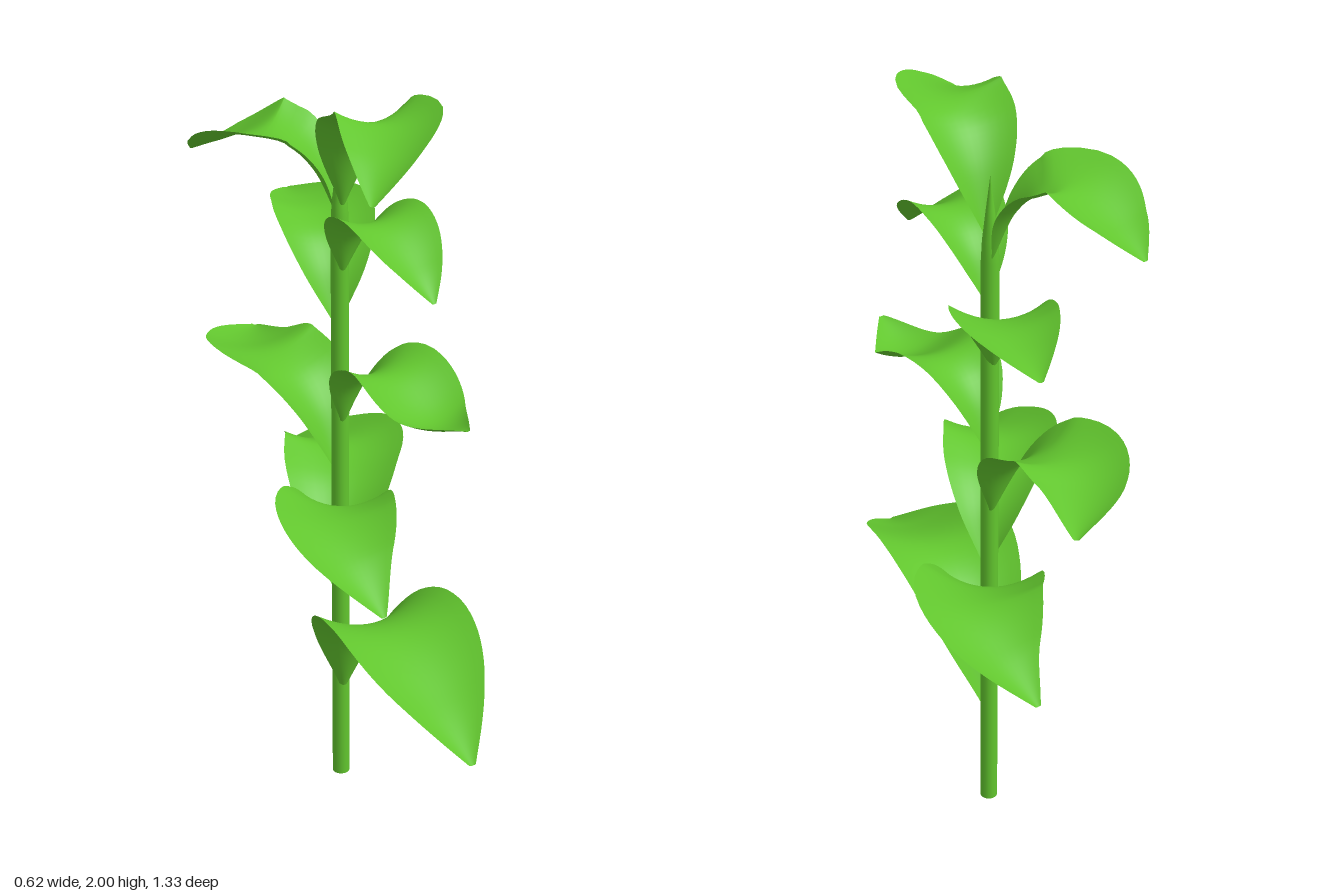
import * as THREE from 'three';

const green = new THREE.MeshStandardMaterial({ color: 0x62c62e });
const leafGreen = new THREE.MeshStandardMaterial({ color: 0x62c62e, side: THREE.DoubleSide });
const STEM_Z = -0.07;

// Midrib: leaves the stalk steeply, arches over the crest, droops to the tip
function midrib(baseY, sign, crest, droop, tip) {
  const base = new THREE.Vector3(0, baseY, STEM_Z + 0.02 * sign);
  const [c, d, t] = [crest, droop, tip].map((p) => new THREE.Vector3(...p));
  const along = (h, v) => new THREE.Vector3(
    THREE.MathUtils.lerp(base.x, c.x, h),
    THREE.MathUtils.lerp(base.y, c.y, v),
    THREE.MathUtils.lerp(base.z, c.z, h));
  return new THREE.CatmullRomCurve3([base, along(0.3, 0.61), along(0.6, 0.89), c, d, t], false, 'centripetal');
}

// Pointed, cupped blade swept along its midrib
function leafGeometry(curve, halfWidth, rows = 36, cols = 12) {
  const up = new THREE.Vector3(0, 1, 0), position = [], index = [];
  for (let i = 0; i <= rows; i++) {
    const t = i / rows;
    const mid = curve.getPointAt(t), tangent = curve.getTangentAt(t);
    const side = new THREE.Vector3().crossVectors(up, tangent).normalize();
    const normal = new THREE.Vector3().crossVectors(tangent, side);
    const w = halfWidth * (0.05 + 0.95 * Math.sin(Math.PI * Math.pow(t, 1.1)));
    const cup = 0.5 - 0.2 * Math.min(1, t * 2);
    for (let j = 0; j <= cols; j++) {
      const u = (j / cols) * 2 - 1;
      const p = mid.clone().addScaledVector(side, u * w).addScaledVector(normal, u * u * w * cup);
      position.push(p.x, p.y, p.z);
      if (i < rows && j < cols) {
        const a = i * (cols + 1) + j, b = a + cols + 1;
        index.push(a, b, a + 1, b, b + 1, a + 1);
      }
    }
  }
  const g = new THREE.BufferGeometry();
  g.setAttribute('position', new THREE.Float32BufferAttribute(position, 3));
  g.setIndex(index);
  g.computeVertexNormals();
  return g;
}

// Bottom to top: base height, half-width, then crest, droop and tip of the midrib
const FRONT_LEAVES = [
  [0.28, 0.18, [0, 0.62, 0.26], [0, 0.54, 0.5], [0, 0.46, 0.67]],
  [0.73, 0.15, [-0.14, 0.95, 0.19], [-0.17, 0.91, 0.33], [-0.15, 0.82, 0.48]],
  [1.08, 0.13, [0.05, 1.28, 0.12], [0.08, 1.21, 0.29], [0.1, 1.25, 0.43]],
  [1.5, 0.115, [0.02, 1.69, 0.13], [0.04, 1.62, 0.26], [0.05, 1.56, 0.34]],
  [1.68, 0.13, [0.01, 1.965, 0.17], [-0.06, 1.93, 0.29], [-0.14, 1.86, 0.39]],
];
const BACK_LEAVES = [
  [0.56, 0.16, [0.15, 0.84, -0.36], [0.16, 0.79, -0.52], [0.12, 0.72, -0.66]],
  [0.92, 0.145, [-0.09, 1.18, -0.33], [-0.08, 1.16, -0.45], [0, 1.13, -0.6]],
  [1.34, 0.13, [0.055, 1.565, -0.3], [0.065, 1.56, -0.41], [0.07, 1.54, -0.54]],
  [1.64, 0.135, [-0.15, 1.85, -0.2], [-0.21, 1.79, -0.33], [-0.24, 1.74, -0.43]],
];

export function createModel() {
  const group = new THREE.Group();
  group.name = 'leafyStalk';

  // Straight stalk with a pointed shoot at the top
  const profile = [[0, 0], [0.023, 0], [0.023, 1.62], [0.02, 1.68], [0.011, 1.76], [0, 1.85]]
    .map(([r, y]) => new THREE.Vector2(r, y));
  const stalk = new THREE.Mesh(new THREE.LatheGeometry(profile, 16), green);
  stalk.name = 'stalk';
  stalk.position.z = STEM_Z;
  group.add(stalk);

  // Leaves alternating between front and back
  for (const [name, sign, leaves] of [['frontLeaf', 1, FRONT_LEAVES], ['backLeaf', -1, BACK_LEAVES]]) {
    leaves.forEach(([baseY, halfWidth, crest, droop, tip], i) => {
      const leaf = new THREE.Mesh(leafGeometry(midrib(baseY, sign, crest, droop, tip), halfWidth), leafGreen);
      leaf.name = name + (i + 1);
      group.add(leaf);
    });
  }
  return group;
}
